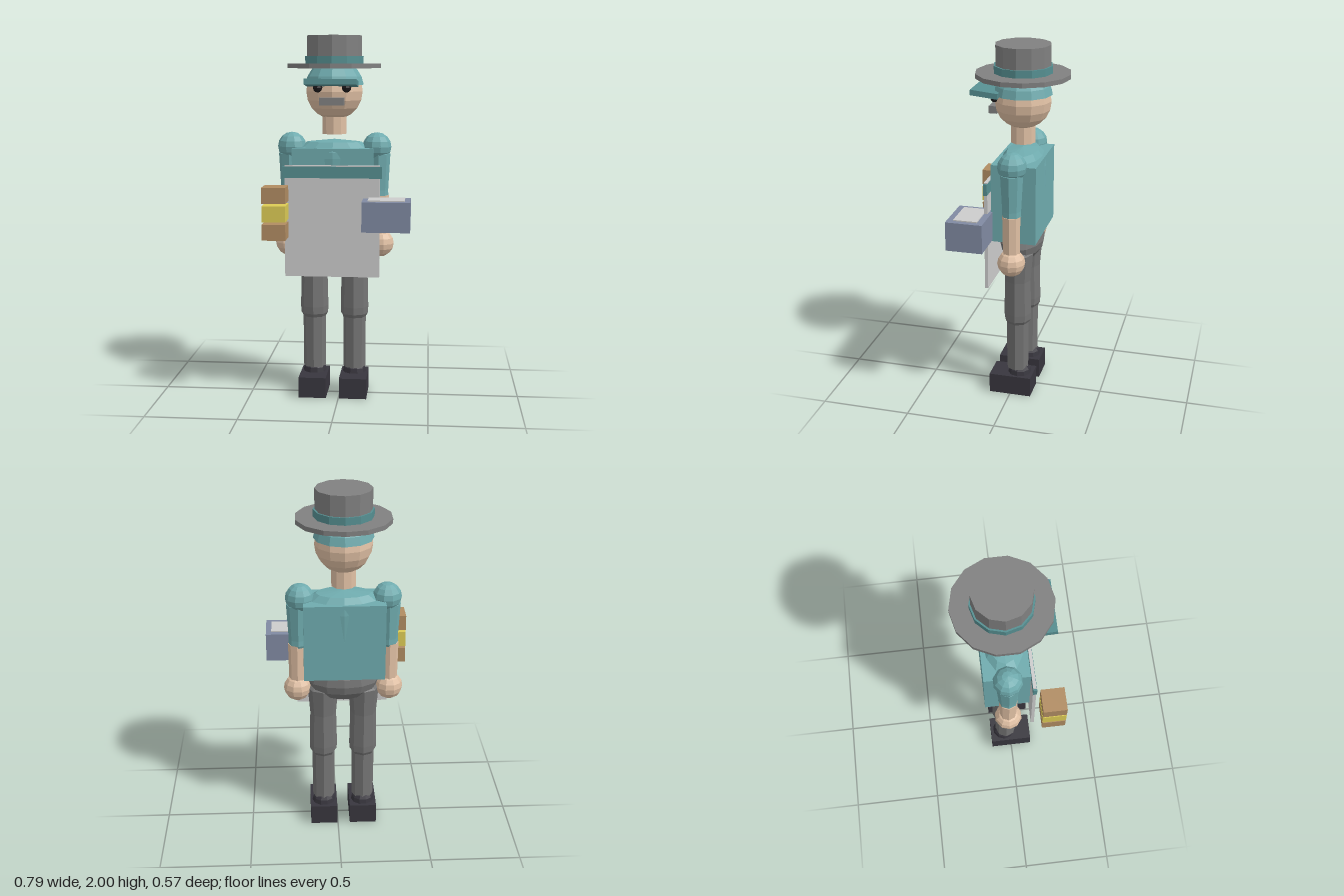
import * as THREE from 'three';

const CX = -0.033, CZ = -0.028; // axis of the figure
const mats = {};
const mat = (color) => (mats[color] ??= new THREE.MeshStandardMaterial({ color, flatShading: true }));

const TEAL = 0x6fabae, DARK_TEAL = 0x568f91, SKIN = 0xe0c0a4, GREY = 0x808080, TROUSER = 0x747474;
const BLACK = 0x38363e, PALE = 0xcccccc, BROWN = 0xb08c62, YELLOW = 0xdccb55, BLUE = 0x808aa2;

export function createModel() {
  const model = new THREE.Group();

  const add = (name, geometry, color, x, y, z, parent = model) => {
    const mesh = new THREE.Mesh(geometry, mat(color));
    mesh.name = name;
    mesh.position.set(x, y, z);
    parent.add(mesh);
    return mesh;
  };
  // Box given by its limits on each axis
  const box = (name, color, [x0, x1], [y0, y1], [z0, z1]) =>
    add(name, new THREE.BoxGeometry(x1 - x0, y1 - y0, z1 - z0), color, (x0 + x1) / 2, (y0 + y1) / 2, (z0 + z1) / 2);
  // Upright cylinder on the figure's axis, from y0 to y1
  const drum = (name, color, r, y0, y1, sides) =>
    add(name, new THREE.CylinderGeometry(r, r, y1 - y0, sides), color, CX, (y0 + y1) / 2, CZ);
  const lathe = (points, sides) =>
    new THREE.LatheGeometry(points.map(([r, y]) => new THREE.Vector2(r, y)), sides);

  // Hat
  drum('hatCrown', GREY, 0.151, 1.85, 2.0, 12);
  drum('hatBand', DARK_TEAL, 0.16, 1.85, 1.89, 12);
  drum('hatBrim', GREY, 0.257, 1.825, 1.85, 14);

  // Head with cap, visor, eyes and moustache
  add('head', new THREE.SphereGeometry(0.155, 12, 10), SKIN, CX, 1.7, CZ);
  add('cap', new THREE.SphereGeometry(0.162, 12, 5, 0, Math.PI * 2, 0, Math.PI * 0.46), TEAL, CX, 1.715, CZ)
    .material = new THREE.MeshStandardMaterial({ color: TEAL, flatShading: true, side: THREE.DoubleSide });
  const visor = add('visor', new THREE.BoxGeometry(0.276, 0.03, 0.15), DARK_TEAL, CX, 1.749, 0.152);
  visor.rotation.x = -0.1;
  for (const s of [-1, 1])
    add(s > 0 ? 'leftEye' : 'rightEye', new THREE.SphereGeometry(0.026, 8, 6), 0x1c1a1c, CX + s * 0.077, 1.722, 0.107);
  box('moustache', GREY, [-0.1, 0.032], [1.63, 1.67], [0.1, 0.145]);
  drum('neck', SKIN, 0.068, 1.468, 1.57, 10);

  // Body under a square tunic
  const chest = add('chest', lathe(
    [[0, 0.94], [0.15, 0.96], [0.215, 1.02], [0.228, 1.34], [0.222, 1.375], [0.15, 1.425], [0, 1.44]], 12), TEAL, CX, 0, CZ);
  chest.scale.z = 0.56;
  box('tunic', TEAL, [-0.255, 0.186], [0.96, 1.394], [-0.152, 0.093]);
  const hips = add('hips', new THREE.SphereGeometry(1, 12, 8), TROUSER, CX, 0.905, CZ);
  hips.scale.set(0.195, 0.115, 0.12);

  // Arms and legs, built once per side
  for (const s of [-1, 1]) {
    const side = s > 0 ? 'left' : 'right';
    const arm = new THREE.Group();
    arm.name = side + 'Arm';
    arm.position.set(CX, 0, CZ);
    model.add(arm);
    add('shoulder', new THREE.SphereGeometry(0.079, 10, 8), TEAL, s * 0.235, 1.398, 0, arm);
    const sleeve = lathe([[0, 1.08], [0.035, 1.09], [0.053, 1.13], [0.052, 1.16], [0.063, 1.36], [0, 1.4]], 8);
    add('sleeve', sleeve, TEAL, s * 0.246, 0, 0, arm);
    add('forearm', new THREE.CylinderGeometry(0.05, 0.046, 0.28, 8), SKIN, s * 0.253, 0.99, 0, arm);
    add('hand', new THREE.SphereGeometry(0.076, 10, 8), SKIN, s * 0.255, 0.861, 0, arm);

    const leg = new THREE.Group();
    leg.name = side + 'Leg';
    leg.position.set(CX + s * 0.113, 0, 0);
    model.add(leg);
    const trouser = lathe(
      [[0, 0.15], [0.062, 0.15], [0.064, 0.44], [0.076, 0.46], [0.078, 0.5], [0.073, 0.7], [0.086, 0.86], [0, 0.92]], 8);
    add('trouserLeg', trouser, TROUSER, 0, 0, CZ, leg);
    add('ankle', new THREE.SphereGeometry(0.066, 10, 8), BLACK, 0, 0.115, -0.04, leg);
    add('shoe', new THREE.BoxGeometry(0.153, 0.115, 0.24), BLACK, 0, 0.0575, 0, leg);
  }

  // Apron panel hanging in front
  box('apron', PALE, [-0.292, 0.225], [0.694, 1.306], [0.102, 0.12]);
  box('apronBand', DARK_TEAL, [-0.303, 0.236], [1.237, 1.3], [0.101, 0.122]);

  // Stack of three parcels at the right hand
  [BROWN, YELLOW, BROWN].forEach((color, i) =>
    box('parcel' + (i + 1), color, [-0.395, -0.268], [0.917 + i * 0.099, 1.003 + i * 0.099], [0.146, 0.274]));

  // Carried case with a pale lid at the left hand
  box('case', BLUE, [0.137, 0.393], [0.97, 1.13], [0.085, 0.285]);
  box('caseLid', PALE, [0.167, 0.363], [1.1, 1.136], [0.12, 0.25]);

  return model;
}
